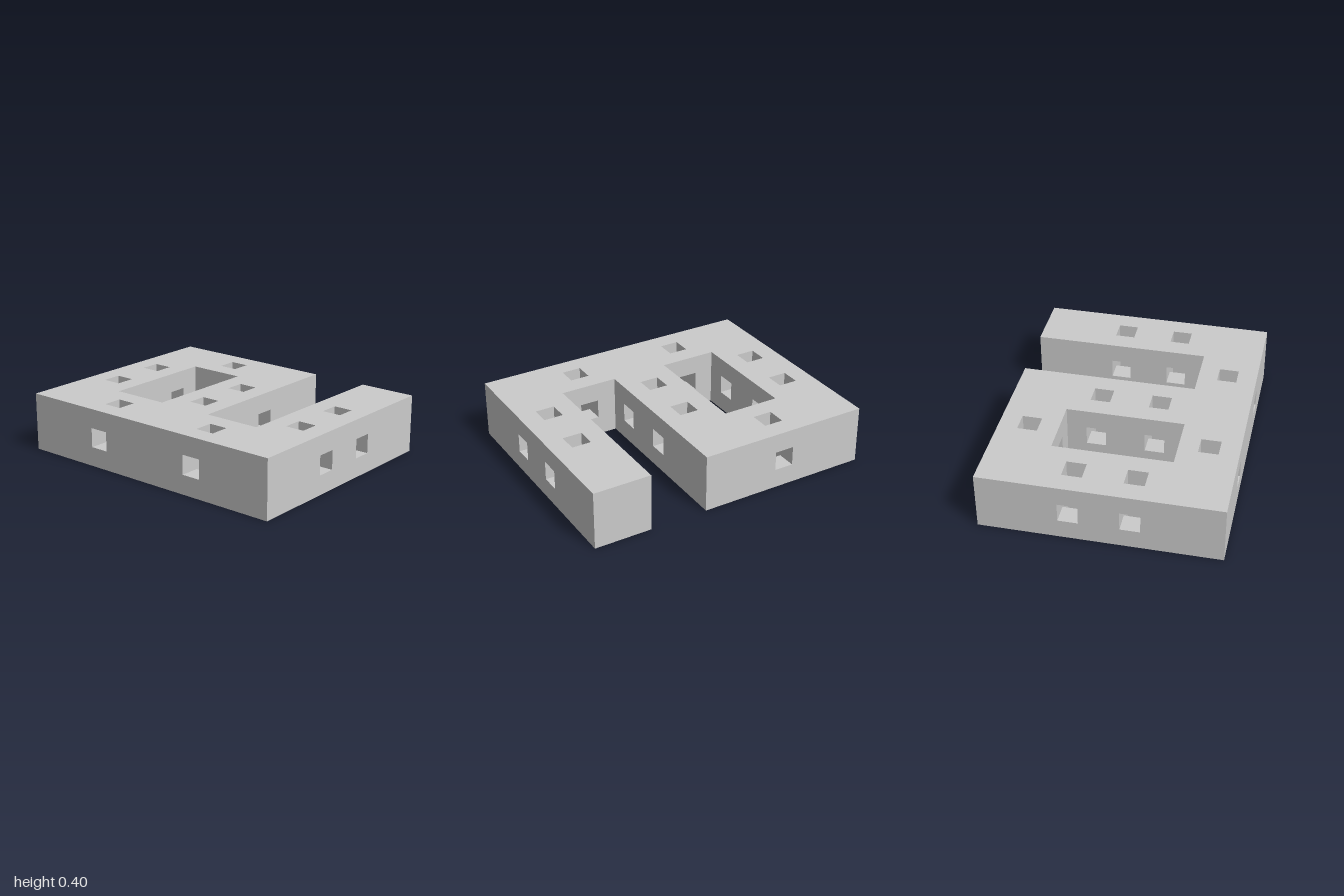
import * as THREE from 'three';
import { mergeGeometries } from 'three/addons/utils/BufferGeometryUtils.js';

const H = 0.4;        // block height and wall thickness
const S = H / 3;      // width of the square holes

// Plan corners [x, z], walked with the open side on the right
const OUTLINE = [[-1, 0.8], [1, 0.8], [1, -0.8], [0.6, -0.8], [0.6, 0.4], [0.2, 0.4], [0.2, -0.8], [-1, -0.8]];
const WINDOW = [[-0.2, 0.4], [-0.6, 0.4], [-0.6, -0.4], [-0.2, -0.4]];

// Pierced cells: centre and whether the wall there runs along x
const CELLS = [[-0.4, -0.6, true], [-0.4, 0.6, true], [0.4, 0.6, true]];
for (const x of [-0.8, 0, 0.8]) for (const z of [-0.2, 0.2]) CELLS.push([x, z, false]);

const polygon = (points) => new THREE.Shape(points.map(([x, y]) => new THREE.Vector2(x, y)));

const square = (x, y) => {
  const h = S / 2;
  return polygon([[x - h, y - h], [x - h, y + h], [x + h, y + h], [x + h, y - h]]);
};

// Flat deck with window and square holes; sign 1 faces up, -1 faces down
function deck(sign) {
  const flat = ([x, z]) => [x, -sign * z];
  const shape = polygon(OUTLINE.map(flat));
  shape.holes.push(polygon(WINDOW.map(flat)));
  for (const cell of CELLS) shape.holes.push(square(...flat(cell)));
  return new THREE.ShapeGeometry(shape).rotateX(-sign * Math.PI / 2).translate(0, sign > 0 ? H : 0, 0);
}

// Upright panels along a closed plan loop, pierced wherever a tunnel opens
function walls(loop) {
  return mergeGeometries(loop.map(([ax, az], i) => {
    const [bx, bz] = loop[(i + 1) % loop.length];
    const length = Math.hypot(bx - ax, bz - az);
    const dx = (bx - ax) / length, dz = (bz - az) / length;
    const shape = polygon([[0, 0], [length, 0], [length, H], [0, H]]);
    for (const [x, z, alongX] of CELLS) for (const side of [-H / 2, H / 2]) {
      const px = x + (alongX ? 0 : side) - ax, pz = z + (alongX ? side : 0) - az;
      const along = px * dx + pz * dz, off = px * dz - pz * dx;
      if (Math.abs(off) < 0.01 && along > 0.01 && along < length - 0.01) shape.holes.push(square(along, H / 2));
    }
    return new THREE.ShapeGeometry(shape).rotateY(Math.atan2(-dz, dx)).translate(ax, 0, az);
  }));
}

// Inner faces of two crossing square tunnels
function tunnelLining() {
  const a = S / 2, b = H / 2;
  const cross = polygon([[a, a], [a, b], [-a, b], [-a, a], [-b, a], [-b, -a],
    [-a, -a], [-a, -b], [a, -b], [a, -a], [b, -a], [b, a]]);
  const parts = [
    new THREE.ShapeGeometry(cross).translate(0, 0, -a),
    new THREE.ShapeGeometry(cross).rotateY(Math.PI).translate(0, 0, a),
  ];
  for (let arm = 0; arm < 4; arm++) for (const side of [-1, 1]) {
    parts.push(new THREE.PlaneGeometry(S, S).rotateY(-side * Math.PI / 2)
      .translate(side * a, S, 0).rotateZ(arm * Math.PI / 2));
  }
  return mergeGeometries(parts);
}

export function createModel() {
  const model = new THREE.Group();
  model.name = 'piercedBlock';
  const material = new THREE.MeshStandardMaterial({ color: 0xcccccc, flatShading: true });
  const add = (name, geometry) => {
    const mesh = new THREE.Mesh(geometry, material);
    mesh.name = name;
    model.add(mesh);
    return mesh;
  };

  add('topDeck', deck(1));
  add('bottomDeck', deck(-1));
  add('outerWalls', walls(OUTLINE));
  add('windowWalls', walls(WINDOW));

  // Crossing tunnels in every pierced cell
  const lining = tunnelLining();
  for (const [x, z, alongX] of CELLS) {
    const tunnel = add('crossTunnel', lining);
    tunnel.position.set(x, H / 2, z);
    if (alongX) tunnel.rotation.y = Math.PI / 2;
  }
  return model;
}
